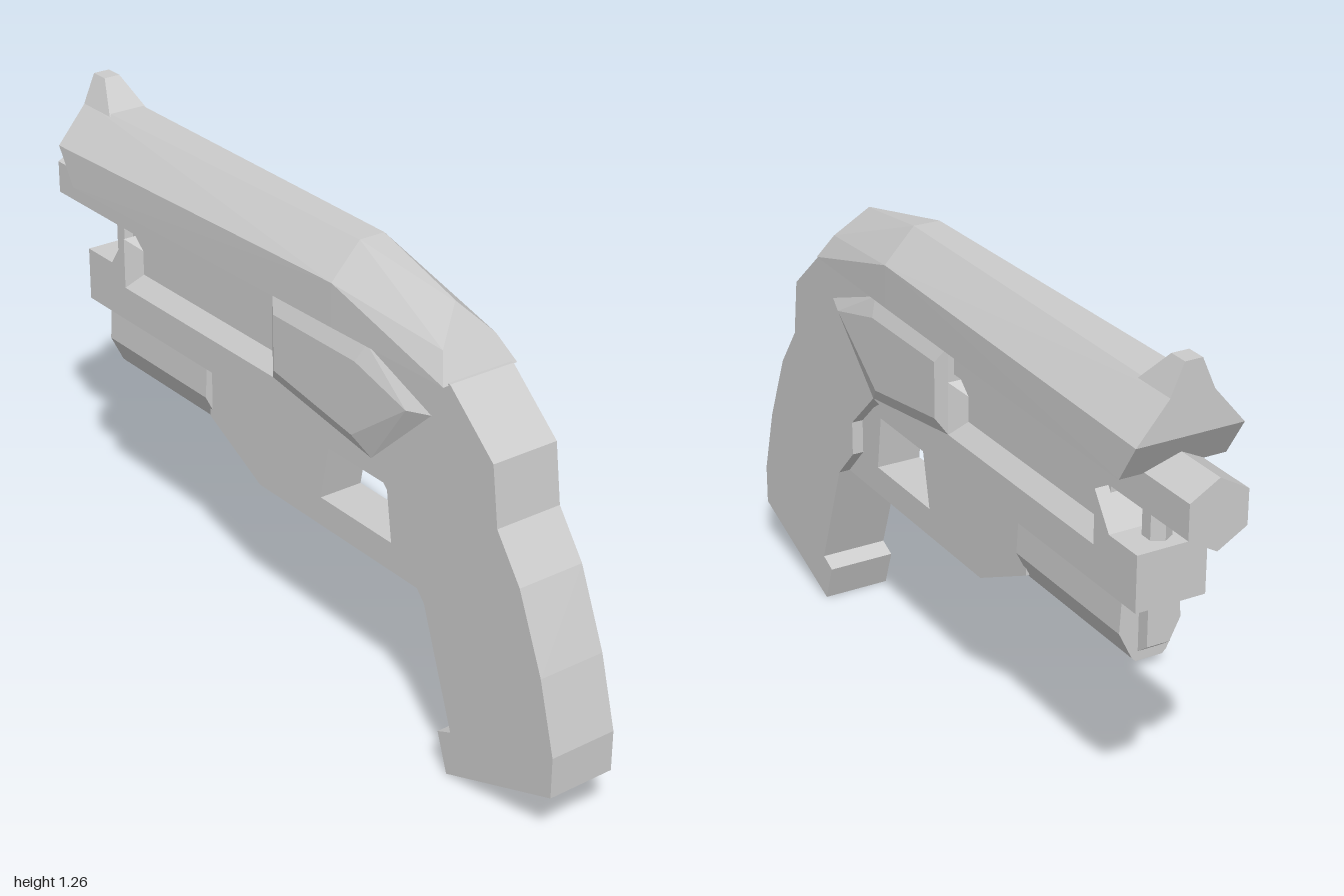
import * as THREE from 'three';
import { ConvexGeometry } from 'three/addons/geometries/ConvexGeometry.js';

export function createModel() {
  const group = new THREE.Group();
  const mat = new THREE.MeshStandardMaterial({ color: 0xcccccc, flatShading: true });

  const add = (name, geo) => {
    const mesh = new THREE.Mesh(geo, mat);
    mesh.name = name;
    group.add(mesh);
    return mesh;
  };

  // Side profile given as [z, y], extruded evenly about x = 0
  const profile = (name, pts, width, hole) => {
    const toVec = (list) => list.map(([z, y]) => new THREE.Vector2(z, y));
    const shape = new THREE.Shape(toVec(pts));
    if (hole) shape.holes.push(new THREE.Path(toVec(hole)));
    const geo = new THREE.ExtrudeGeometry(shape, { depth: width, bevelEnabled: false });
    geo.rotateY(-Math.PI / 2).translate(width / 2, 0, 0);
    return add(name, geo);
  };

  // Convex solid from [x, y, z] corners mirrored across x
  const mirrored = (name, pts) => add(name, new ConvexGeometry(
    pts.flatMap(([x, y, z]) => [new THREE.Vector3(x, y, z), new THREE.Vector3(-x, y, z)])));

  // Grip, receiver and lower rail
  profile('frame', [
    [0.62, 1.0], [0.77, 0.87], [0.79, 0.72], [0.87, 0.61], [0.95, 0.42], [1.0, 0.24],
    [1.0, 0.135], [0.645, 0], [0.61, 0.10], [0.655, 0.12], [0.55, 0.415], [0.47, 0.50],
    [0.47, 0.59], [0.35, 0.705], [0.12, 0.67], [-0.84, 0.67], [-0.84, 0.81],
    [-0.73, 0.81], [-0.67, 0.895], [-0.67, 0.76], [-0.03, 0.76], [-0.03, 1.0],
  ], 0.18);

  // Narrower loop below the frame
  profile('lowerGuard', [
    [0.55, 0.415], [-0.13, 0.415], [-0.34, 0.52], [-0.34, 0.69], [0.35, 0.69], [0.48, 0.60], [0.50, 0.50],
  ], 0.12, [[0.39, 0.49], [0.37, 0.635], [0.15, 0.635], [0.12, 0.49]]);

  // Bevelled raised panels on both sides
  const outer = [[0.56, 0.90], [0.33, 0.985], [-0.03, 0.985], [-0.03, 0.76], [0.35, 0.705]];
  const inner = [[0.495, 0.892], [0.31, 0.94], [0, 0.94], [0, 0.795], [0.30, 0.75]];
  mirrored('sidePanels', [
    ...outer.map(([z, y]) => [0.09, y, z]),
    ...inner.map(([z, y]) => [0.11, y, z]),
  ]);

  // Side recess: inner wall with sloped borders
  profile('recessWall', [[-0.02, 0.75], [-0.02, 0.90], [-0.68, 0.90], [-0.68, 0.75]], 0.11);
  mirrored('recessSill', [
    [0.09, 0.76, -0.03], [0.09, 0.76, -0.67], [0.055, 0.80, -0.03], [0.055, 0.80, -0.67],
  ]);
  for (const [z0, z1] of [[-0.03, -0.065], [-0.67, -0.635]]) {
    mirrored('recessEnd', [
      [0.09, 0.76, z0], [0.09, 0.895, z0], [0.055, 0.76, z1], [0.055, 0.865, z1],
    ]);
  }

  // Six-sided tube with a vertex at the bottom
  const barrel = new THREE.CylinderGeometry(0.085, 0.085, 1.1, 6);
  barrel.rotateX(Math.PI / 2).translate(0, 0.955, -0.45);
  add('barrel', barrel);

  // Faceted cover running along the top
  mirrored('topCover', [
    [0.105, 0.995, 0.615], [0.075, 1.06, 0.575], [0.002, 1.137, 0.525],
    [0.115, 0.995, 0.23], [0.115, 1.105, 0.23], [0.035, 1.19, 0.23],
    [0.135, 0.995, -0.83], [0.135, 1.09, -0.89], [0.05, 1.19, -0.89],
  ]);

  // Tapered fin at the far end of the cover
  mirrored('topFin', [
    [0.055, 1.185, -0.77], [0.055, 1.185, -0.89], [0.022, 1.26, -0.84], [0.022, 1.26, -0.89],
  ]);

  // Small post between rail and tube
  const post = new THREE.CylinderGeometry(0.033, 0.033, 0.12, 6);
  post.translate(0, 0.85, -0.78);
  add('railPost', post);

  // Faceted housing below the rail
  mirrored('underHousing', [-0.33, -0.765].flatMap((z) => [
    [0.075, 0.67, z], [0.08, 0.58, z], [0.045, 0.51, z], [0.035, 0.50, z],
  ]));
  profile('housingTip', [
    [-0.75, 0.67], [-0.80, 0.67], [-0.80, 0.55], [-0.76, 0.52], [-0.75, 0.52],
  ], 0.06);

  return group;
}
